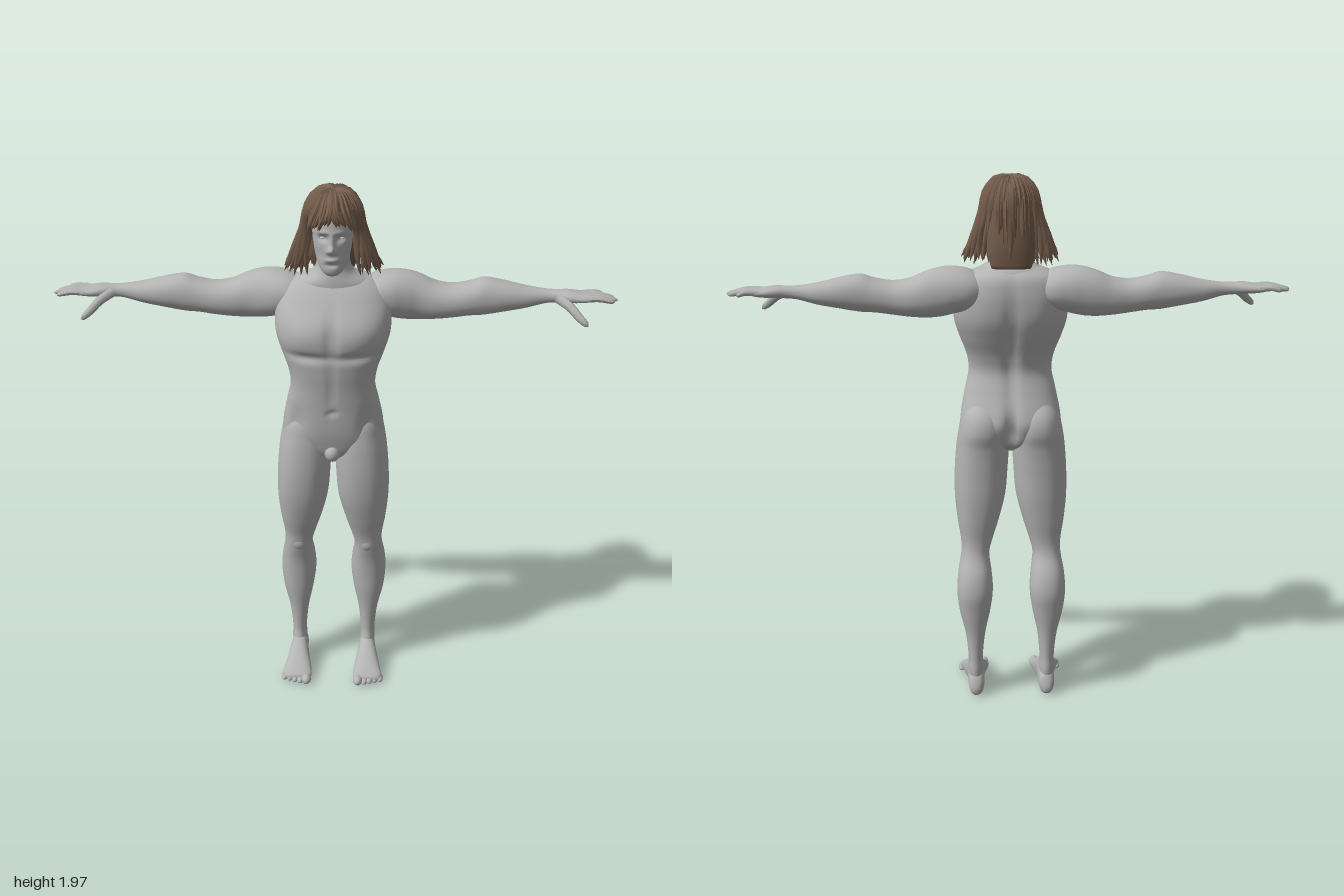
import * as THREE from 'three';
import { mergeGeometries } from 'three/addons/utils/BufferGeometryUtils.js';

const skin = new THREE.MeshStandardMaterial({ color: 0xb4b4b4 });
skin.name = 'grey skin';
const brown = new THREE.MeshStandardMaterial({ color: 0x755e4d });
brown.name = 'brown hair';
const pale = new THREE.MeshStandardMaterial({ color: 0xd4d4d4 });
pale.name = 'pale eye';

// Smooth interpolation of cross-section rows [t, aMin, aMax, bMin, bMax]
function sample(rows, t) {
  let i = 0;
  while (i < rows.length - 2 && t > rows[i + 1][0]) i++;
  const p = rows[i], q = rows[i + 1], h = q[0] - p[0], u = (t - p[0]) / h;
  const slope = (k, c) => {
    const lo = rows[Math.max(k - 1, 0)], hi = rows[Math.min(k + 1, rows.length - 1)];
    return (hi[c] - lo[c]) / (hi[0] - lo[0]);
  };
  return [1, 2, 3, 4].map((c) => {
    const u2 = u * u, u3 = u2 * u;
    return (2 * u3 - 3 * u2 + 1) * p[c] + (u3 - 2 * u2 + u) * h * slope(i, c)
      + (3 * u2 - 2 * u3) * q[c] + (u3 - u2) * h * slope(i + 1, c);
  });
}

// Closed skin through the rows; axis gives the direction of t, side mirrors x,
// bumps [cx, cy, cz, rx, ry, rz, push] push the surface along z on both halves
function loft(rows, axis, { side = 1, n = 32, m = 48, power = 2.2, bumps = [] } = {}) {
  const place = {
    x: (t, a, b) => [t * side, a, b],
    y: (t, a, b) => [a * side, t, b],
    z: (t, a, b) => [a * side, b, t],
  }[axis];
  const pos = [], idx = [];
  const t0 = rows[0][0], t1 = rows[rows.length - 1][0];
  const bend = (v) => Math.sign(v) * Math.abs(v) ** (2 / power);
  const add = (p) => {
    let dz = 0;
    for (const [cx, cy, cz, rx, ry, rz, push] of bumps) {
      dz += push * Math.exp(-(((Math.abs(p[0]) - cx) / rx) ** 2) - ((p[1] - cy) / ry) ** 2 - ((p[2] - cz) / rz) ** 2);
    }
    pos.push(p[0], p[1], p[2] + dz);
  };
  for (let i = 0; i <= m; i++) {
    const t = t0 + (t1 - t0) * i / m;
    const [a0, a1, b0, b1] = sample(rows, t);
    for (let j = 0; j < n; j++) {
      const w = j / n * Math.PI * 2;
      add(place(t, (a0 + a1) / 2 + (a1 - a0) / 2 * bend(Math.cos(w)), (b0 + b1) / 2 + (b1 - b0) / 2 * bend(Math.sin(w))));
    }
  }
  for (const row of [rows[0], rows[rows.length - 1]]) add(place(row[0], (row[1] + row[2]) / 2, (row[3] + row[4]) / 2));
  for (let j = 0; j < n; j++) {
    const k = (j + 1) % n, e = m * n, c = (m + 1) * n;
    for (let i = 0; i < e; i += n) idx.push(i + j, i + k, i + n + j, i + k, i + n + k, i + n + j);
    idx.push(c, k, j, c + 1, e + j, e + k);
  }
  // turn the faces outward if the enclosed volume is negative
  const P = (i) => new THREE.Vector3().fromArray(pos, i * 3);
  let vol = 0;
  for (let i = 0; i < idx.length; i += 3) vol += P(idx[i]).dot(P(idx[i + 1]).cross(P(idx[i + 2])));
  if (vol < 0) idx.reverse();
  const g = new THREE.BufferGeometry();
  g.setAttribute('position', new THREE.Float32BufferAttribute(pos, 3));
  g.setIndex(idx);
  g.computeVertexNormals();
  return g;
}

// Tube along points whose radius follows a function of 0..1
function taper(points, radius, seg = 14, sides = 6) {
  const curve = new THREE.CatmullRomCurve3(points.map((p) => new THREE.Vector3(...p)));
  const g = new THREE.TubeGeometry(curve, seg, 1, sides);
  const p = g.attributes.position, v = new THREE.Vector3();
  for (let i = 0; i < p.count; i++) {
    const u = Math.floor(i / (sides + 1)) / seg, c = curve.getPointAt(u);
    v.fromBufferAttribute(p, i).sub(c).multiplyScalar(radius(u)).add(c);
    p.setXYZ(i, v.x, v.y, v.z);
  }
  g.computeVertexNormals();
  return g;
}

function ball(x, y, z, sx, sy, sz) {
  return new THREE.SphereGeometry(1, 20, 14).scale(sx, sy, sz).translate(x, y, z);
}

const sym = (rows) => rows.map(([y, w, b, f]) => [y, -w, w, b, f]);

const torsoRows = sym([
  [0.97, 0.03, -0.04, 0.06], [1.0, 0.11, -0.095, 0.085], [1.05, 0.178, -0.125, 0.1], [1.1, 0.184, -0.132, 0.11],
  [1.2, 0.166, -0.095, 0.12], [1.27, 0.152, -0.075, 0.128], [1.33, 0.16, -0.088, 0.137],
  [1.4, 0.185, -0.12, 0.145], [1.46, 0.203, -0.143, 0.15], [1.52, 0.206, -0.152, 0.138],
  [1.58, 0.198, -0.152, 0.1], [1.63, 0.165, -0.138, 0.062], [1.66, 0.09, -0.1, 0.03],
]);
const torsoBumps = [
  [0, 1.48, 0.14, 0.016, 0.09, 0.07, -0.014],   // breastbone groove
  [0.1, 1.48, 0.13, 0.07, 0.05, 0.07, 0.008],   // chest muscles
  [0.09, 1.4, 0.14, 0.09, 0.016, 0.07, -0.012], // crease below the chest
  [0, 1.28, 0.13, 0.012, 0.1, 0.06, -0.007],    // belly line
  [0, 1.18, 0.12, 0.012, 0.012, 0.05, -0.01],   // navel
  [0.13, 1.13, 0.09, 0.03, 0.06, 0.06, -0.012], // groin hollow
  [0, 1.36, -0.12, 0.022, 0.2, 0.08, 0.022],    // spine groove
  [0, 1.06, -0.13, 0.018, 0.07, 0.07, 0.035],   // seat cleft
  [0.1, 1.5, -0.15, 0.05, 0.08, 0.06, -0.006],  // shoulder blades
];
const neckRows = sym([
  [1.58, 0.16, -0.125, 0.06], [1.64, 0.13, -0.125, 0.06], [1.67, 0.078, -0.1, 0.056],
  [1.7, 0.06, -0.085, 0.05], [1.78, 0.055, -0.08, 0.04],
]);
const headRows = sym([
  [1.688, 0.02, 0.05, 0.098], [1.7, 0.036, 0.015, 0.11], [1.73, 0.053, -0.025, 0.115], [1.77, 0.063, -0.05, 0.117],
  [1.81, 0.069, -0.075, 0.118], [1.86, 0.073, -0.09, 0.122], [1.9, 0.072, -0.09, 0.117],
  [1.93, 0.06, -0.075, 0.1], [1.955, 0.025, -0.03, 0.06],
]);
const headBumps = [
  [0, 1.787, 0.12, 0.012, 0.014, 0.06, 0.024],     // nose tip
  [0, 1.812, 0.12, 0.009, 0.026, 0.06, 0.014],     // nose bridge
  [0.014, 1.78, 0.12, 0.007, 0.008, 0.06, 0.006],  // nostrils
  [0.03, 1.823, 0.11, 0.017, 0.012, 0.06, -0.013], // eye sockets
  [0.028, 1.845, 0.12, 0.025, 0.008, 0.06, 0.004], // brows
  [0, 1.749, 0.12, 0.021, 0.007, 0.06, 0.007],     // lips
  [0, 1.73, 0.12, 0.025, 0.008, 0.06, -0.006],     // hollow above the chin
  [0.045, 1.76, 0.1, 0.014, 0.025, 0.06, -0.006],  // cheeks
];
const armRows = [
  [0.08, 1.54, 1.61, -0.115, 0], [0.14, 1.51, 1.647, -0.148, 0.035], [0.2, 1.495, 1.66, -0.155, 0.035],
  [0.25, 1.485, 1.658, -0.153, 0.022], [0.3, 1.482, 1.645, -0.149, 0.01], [0.36, 1.485, 1.62, -0.14, 0.008],
  [0.42, 1.492, 1.612, -0.13, 0.006], [0.48, 1.5, 1.622, -0.127, 0.003], [0.53, 1.503, 1.636, -0.125, 0],
  [0.6, 1.515, 1.625, -0.122, -0.005], [0.68, 1.53, 1.607, -0.11, -0.018], [0.75, 1.548, 1.597, -0.092, -0.032],
  [0.79, 1.552, 1.596, -0.09, -0.03], [0.83, 1.553, 1.596, -0.097, -0.016], [0.87, 1.556, 1.59, -0.102, -0.01],
  [0.905, 1.562, 1.586, -0.1, -0.011], [0.915, 1.57, 1.58, -0.09, -0.02],
];
const legRows = [
  [0.03, 0.115, 0.155, -0.11, -0.03], [0.1, 0.108, 0.166, -0.119, -0.008], [0.15, 0.11, 0.165, -0.118, -0.018],
  [0.25, 0.1, 0.175, -0.125, -0.015], [0.35, 0.08, 0.197, -0.14, -0.004], [0.43, 0.07, 0.205, -0.15, 0.002],
  [0.5, 0.074, 0.2, -0.137, 0.01], [0.57, 0.082, 0.188, -0.103, 0.027], [0.62, 0.07, 0.188, -0.096, 0.036],
  [0.7, 0.045, 0.2, -0.105, 0.062], [0.8, 0.02, 0.209, -0.115, 0.088], [0.9, 0.011, 0.208, -0.12, 0.1],
  [1.0, 0.006, 0.2, -0.127, 0.1], [1.06, 0.01, 0.19, -0.139, 0.095], [1.12, 0.025, 0.175, -0.125, 0.085],
  [1.18, 0.06, 0.14, -0.07, 0.05],
];
const footRows = [
  [-0.132, 0.125, 0.15, 0.015, 0.045], [-0.115, 0.108, 0.163, 0.002, 0.085], [-0.03, 0.102, 0.17, 0, 0.125],
  [0.02, 0.095, 0.18, 0, 0.098], [0.07, 0.085, 0.19, 0, 0.066], [0.105, 0.083, 0.197, 0, 0.045], [0.125, 0.09, 0.18, 0.008, 0.03],
];

// Hair: a cap, a mass down the back, and many tapered locks
function hairGeometry() {
  let seed = 7;
  const rand = () => (seed = (seed * 16807) % 2147483647) / 2147483647;
  const parts = [];
  const count = 76;
  for (let i = 0; i < count; i++) {
    const a = ((i + 0.5) / count * 2 - 1) * Math.PI;
    const s = Math.sin(a), c = Math.cos(a), j = () => (rand() - 0.5) * 0.014;
    const rz = c > 0 ? 0.12 : 0.116;
    const path = [[0.01 * s, 1.957, 0.01 * c], [s * 0.055, 1.95 + j() * 0.5, c * 0.072], [s * 0.088, 1.908 + j(), c * rz]];
    if (Math.abs(a) < 0.85) {
      path.push([s * 0.1 + Math.sign(a) * 0.012 + j(), 1.868 + j() - Math.abs(s) * 0.03, c * 0.123]);
    } else {
      const flare = Math.max(0, Math.abs(s) - 0.6) / 0.4, z = c > 0 ? c * 0.06 : c * 0.12;
      path.push([s * (0.096 + 0.012 * flare), 1.83, z + j()]);
      path.push([s * (0.096 + 0.045 * flare) + j(), 1.745, z * 0.95 - flare * 0.01 + j()]);
      path.push([s * (0.085 + 0.085 * flare) + j(), 1.66 + rand() * 0.03, z * 0.9 - flare * 0.02 + j()]);
    }
    parts.push(taper(path, (u) => 0.011 * Math.sqrt(Math.max(0, 1 - u ** 4)) + 0.0008));
  }
  const cap = sym([[1.86, 0.084, -0.115, 0.1], [1.9, 0.088, -0.117, 0.122], [1.93, 0.076, -0.102, 0.107],
    [1.953, 0.05, -0.068, 0.072], [1.965, 0.015, -0.02, 0.02]]);
  const back = sym([[1.655, 0.07, -0.115, -0.06], [1.72, 0.088, -0.122, -0.02], [1.8, 0.092, -0.122, 0.01], [1.9, 0.086, -0.115, 0.03]]);
  for (const rows of [cap, back]) parts.push(loft(rows, 'y', { m: 20 }));
  for (const g of parts) g.deleteAttribute('uv');
  return mergeGeometries(parts);
}

export function createModel() {
  const model = new THREE.Group();
  model.name = 'standing figure';
  const add = (name, geometry, material = skin, parent = model) => {
    const mesh = new THREE.Mesh(geometry, material);
    mesh.name = name;
    parent.add(mesh);
  };

  add('torso', loft(torsoRows, 'y', { n: 80, m: 80, power: 2.35, bumps: torsoBumps }));
  add('groin', ball(0, 1.008, 0.075, 0.03, 0.036, 0.038));
  add('neck', loft(neckRows, 'y', { n: 40, m: 24 }));
  add('head', loft(headRows, 'y', { n: 96, m: 90, bumps: headBumps }));
  add('hair', hairGeometry(), brown);

  for (const side of [1, -1]) {
    const word = side > 0 ? 'left' : 'right';
    add(word + 'Eye', ball(side * 0.03, 1.823, 0.096, 0.011, 0.005, 0.006), pale);

    // arm, fingers and thumb
    const arm = new THREE.Group();
    arm.name = word + 'Arm';
    model.add(arm);
    add('armAndPalm', loft(armRows, 'x', { side, n: 36, m: 90 }), skin, arm);
    const round = (r) => (u) => r * (1 - 0.3 * u) * Math.sqrt(Math.max(0, 1 - u ** 10));
    [[-0.022, 0.985, -0.018], [-0.044, 1, -0.042], [-0.067, 0.992, -0.07], [-0.089, 0.957, -0.099]].forEach(([z, tip, tz]) => {
      add('finger', taper([[side * 0.88, 1.575, z], [side * 0.93, 1.577, (z + tz) / 2], [side * tip, 1.566, tz]], round(0.0125), 16, 10), skin, arm);
    });
    add('thumb', taper([[side * 0.79, 1.572, -0.04], [side * 0.83, 1.55, -0.006], [side * 0.862, 1.52, 0.022], [side * 0.892, 1.495, 0.038]],
      round(0.018), 16, 10), skin, arm);

    // leg, foot and toes
    const leg = new THREE.Group();
    leg.name = word + 'Leg';
    model.add(leg);
    add('legAndHip', loft(legRows, 'y', { side, n: 40, m: 90 }), skin, leg);
    add('kneecap', ball(side * 0.132, 0.585, 0.008, 0.03, 0.038, 0.024), skin, leg);
    add('foot', loft(footRows, 'z', { side, m: 40 }), skin, leg);
    for (let i = 0; i < 5; i++) {
      const r = i ? 0.0125 : 0.018;
      add('toe', ball(side * (0.102 + i * 0.021 + (i ? 0.004 : 0)), r, 0.128 - i * 0.007, r, r, 0.025), skin, leg);
    }
  }
  return model;
}
